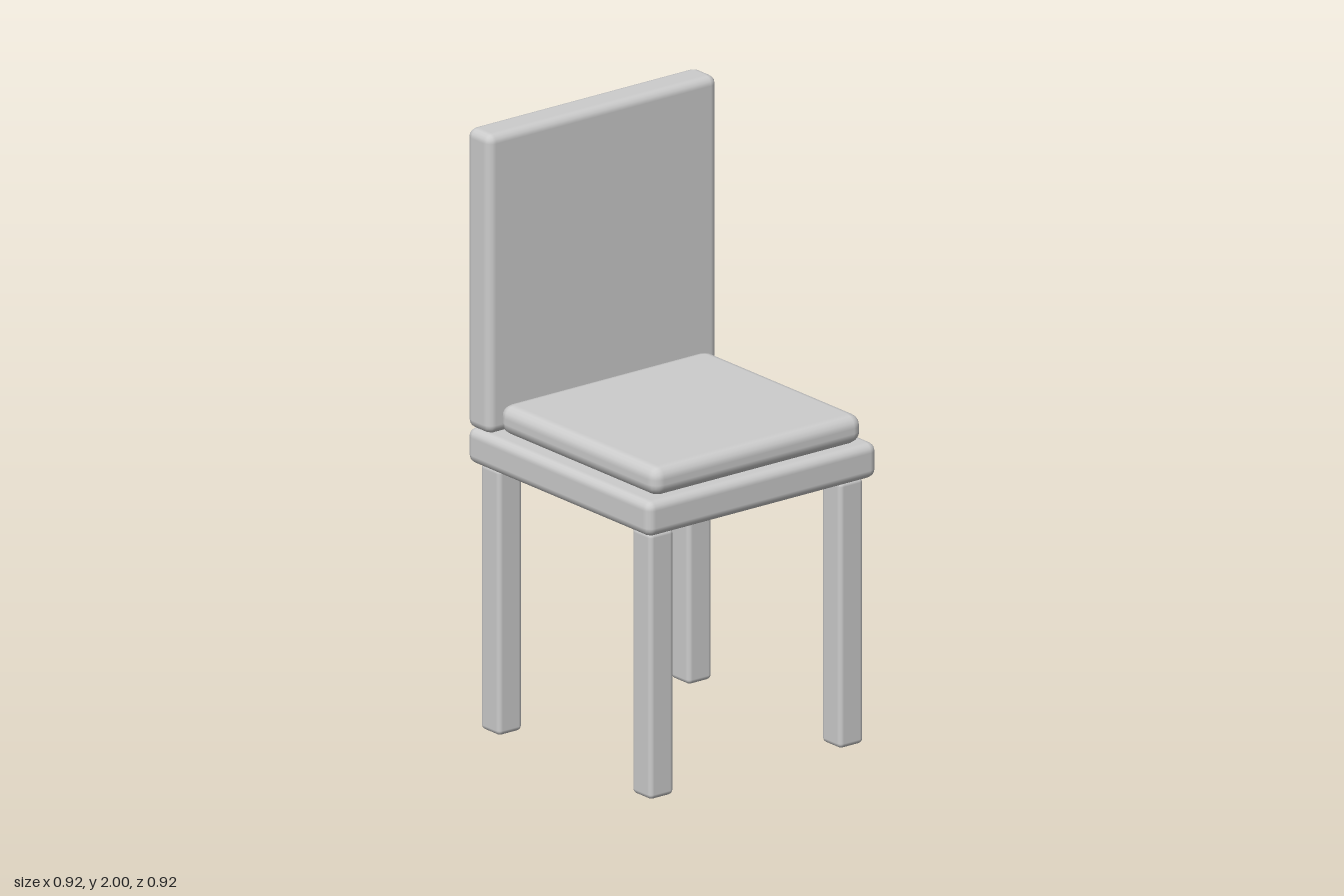
import * as THREE from 'three';
import { RoundedBoxGeometry } from 'three/addons/geometries/RoundedBoxGeometry.js';

export function createModel() {
  const chair = new THREE.Group();
  chair.name = 'chair';
  const grey = new THREE.MeshStandardMaterial({ color: 0xcccccc });
  grey.name = 'light grey';

  // Rounded block given by its lower and upper corners
  function block(name, min, max, radius) {
    const size = max.map((v, i) => v - min[i]);
    const mesh = new THREE.Mesh(new RoundedBoxGeometry(...size, 2, radius), grey);
    mesh.position.set(...max.map((v, i) => (v + min[i]) / 2));
    mesh.name = name;
    chair.add(mesh);
  }

  block('seat', [-0.46, 0.885, -0.46], [0.46, 1.003, 0.46], 0.03);
  block('cushion', [-0.42, 1.003, -0.352], [0.42, 1.1, 0.44], 0.04);
  block('backrest', [-0.46, 1.003, -0.46], [0.46, 2, -0.342], 0.03);

  // Four square legs, one near each corner
  for (const [zName, z] of [['front', 0.38], ['back', -0.38]]) {
    for (const [xName, x] of [['Left', 0.38], ['Right', -0.38]]) {
      block(`${zName}${xName}Leg`, [x - 0.048, 0, z - 0.048], [x + 0.048, 0.886, z + 0.048], 0.016);
    }
  }
  return chair;
}
